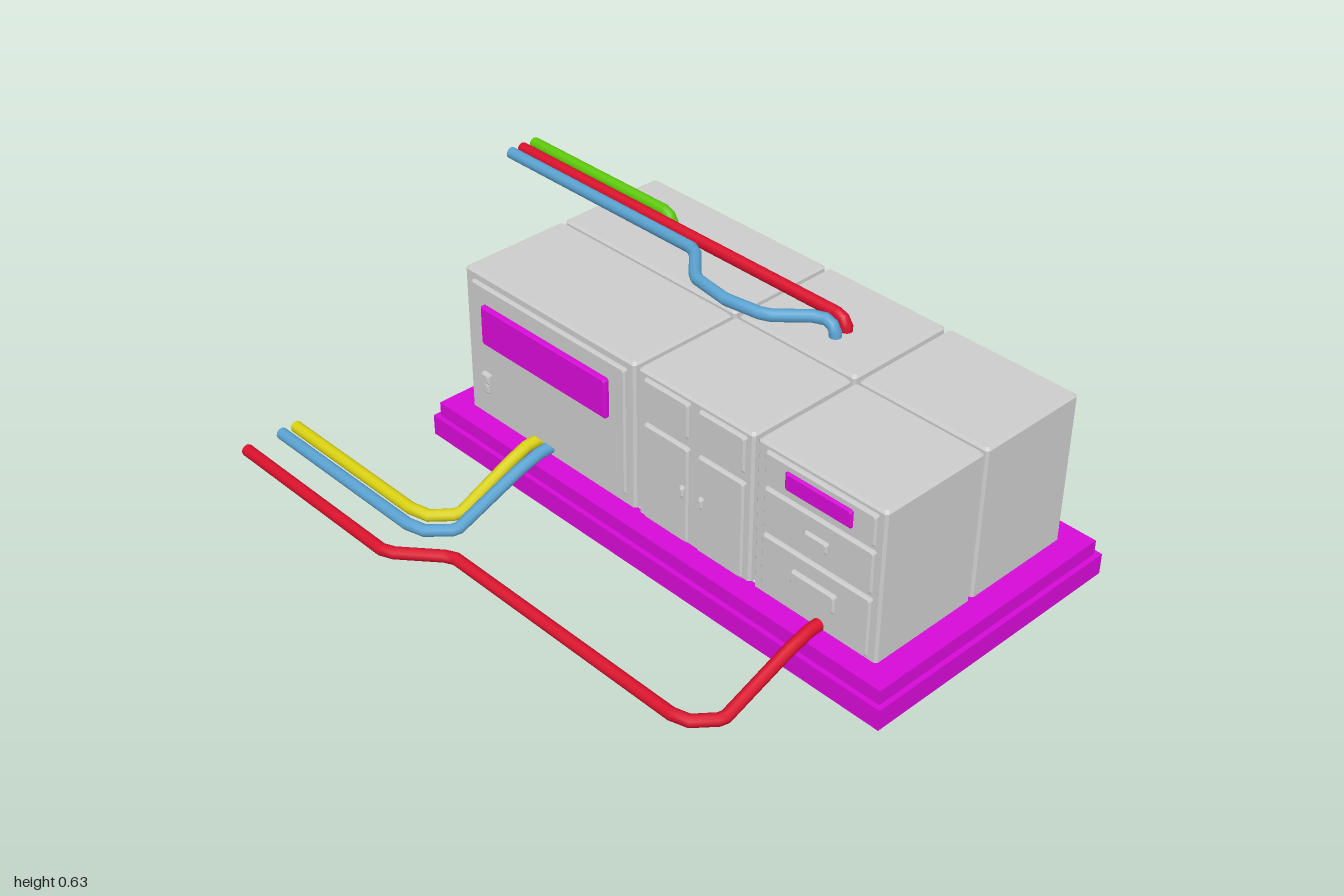
import * as THREE from 'three';

const mat = (color, opts = {}) => new THREE.MeshStandardMaterial({ color, ...opts });
const GREY = mat(0xcccccc, { flatShading: true });
const SHELL = mat(0xcccccc, { flatShading: true, side: THREE.DoubleSide });
const MAGENTA = mat(0xd60ad6, { flatShading: true });
const RED = mat(0xd8102c), BLUE = mat(0x5aa2d0), YELLOW = mat(0xd8d010), GREEN = mat(0x5cc808);

const MID_X = 0.238; // centre line of the cabinet block
const HALF_X = 0.3625;

function add(parent, name, geometry, material) {
  const mesh = new THREE.Mesh(geometry, material);
  mesh.name = name;
  parent.add(mesh);
  return mesh;
}

// Open-bottomed box, base at y = 0, with chamfered upright and top edges
function chamferBox(w, h, d, c) {
  const ring = (inset, y) => {
    const x = w / 2 - inset, z = d / 2 - inset;
    return [[x, -z + c], [x, z - c], [x - c, z], [-x + c, z],
      [-x, z - c], [-x, -z + c], [-x + c, -z], [x - c, -z]].map(p => [p[0], y, p[1]]);
  };
  const rings = [ring(0, 0), ring(0, h - c), ring(c, h)];
  const pos = [];
  for (let i = 0; i < 8; i++) {
    const j = (i + 1) % 8;
    for (let r = 0; r < 2; r++) {
      const [a0, b0, a1, b1] = [rings[r][i], rings[r][j], rings[r + 1][i], rings[r + 1][j]];
      pos.push(...a0, ...a1, ...b0, ...b0, ...a1, ...b1);
    }
    pos.push(0, h, 0, ...rings[2][j], ...rings[2][i]);
  }
  const g = new THREE.BufferGeometry();
  g.setAttribute('position', new THREE.Float32BufferAttribute(pos, 3));
  g.computeVertexNormals();
  return g;
}

// Rectangular plinth tier with a hole under the cabinets
function tier(x0, x1, z0, z1, y, h) {
  const rect = (C, a, b, c, d) => new C([[a, c], [b, c], [b, d], [a, d]].map(p => new THREE.Vector2(...p)));
  const shape = rect(THREE.Shape, x0, x1, -z1, -z0);
  shape.holes.push(rect(THREE.Path, -0.115, 0.59, -0.9, 0.63));
  return new THREE.ExtrudeGeometry(shape, { depth: h, bevelEnabled: false })
    .rotateX(-Math.PI / 2).translate(0, y, 0);
}

// Straight-segment path with a ring exactly on every bend
class Polyline extends THREE.Curve {
  constructor(points) {
    super();
    this.pts = points.map(p => new THREE.Vector3(...p));
  }
  getPoint(t) {
    const n = this.pts.length - 1, i = Math.min(Math.floor(t * n + 1e-6), n - 1);
    return this.pts[i].clone().lerp(this.pts[i + 1], t * n - i);
  }
  getPointAt(t) { return this.getPoint(t); }
  getTangentAt(t) {
    const n = this.pts.length - 1, i = Math.round(t * n), out = new THREE.Vector3();
    if (i > 0) out.add(this.pts[i].clone().sub(this.pts[i - 1]).normalize());
    if (i < n) out.add(this.pts[i + 1].clone().sub(this.pts[i]).normalize());
    return out.normalize();
  }
}

function addPipe(parent, name, material, points) {
  const group = new THREE.Group();
  group.name = name;
  const path = new Polyline(points), r = 0.018;
  add(group, 'pipeRun', new THREE.TubeGeometry(path, points.length - 1, r, 10), material);
  for (const t of [0, 1]) {
    const cap = add(group, 'pipeEnd', new THREE.CircleGeometry(r, 10), material);
    const dir = path.getTangentAt(t).multiplyScalar(t ? 1 : -1);
    cap.position.copy(path.getPoint(t));
    cap.quaternion.setFromUnitVectors(new THREE.Vector3(0, 0, 1), dir);
  }
  parent.add(group);
}

// Side fittings: name, z range, y range, distance out from the wall (start, end)
const FITTINGS = [
  ['largeDoor', -0.605, 0.02, 0.145, 0.55, 0, 0.012],
  ['largeDoorWindow', -0.55, -0.04, 0.37, 0.495, 0.01, 0.027],
  ['largeDoorLatch', -0.565, -0.53, 0.235, 0.27, 0.01, 0.026],
  ['largeDoorLever', -0.56, -0.537, 0.2, 0.237, 0.01, 0.022],
  ['upperFlap', 0.09, 0.257, 0.45, 0.56, 0, 0.012],
  ['upperFlap', 0.29, 0.457, 0.45, 0.56, 0, 0.012],
  ['narrowDoor', 0.09, 0.257, 0.115, 0.42, 0, 0.012],
  ['narrowDoor', 0.29, 0.457, 0.115, 0.42, 0, 0.012],
  ['narrowDoorHandle', 0.232, 0.25, 0.263, 0.3, 0.01, 0.022],
  ['narrowDoorHandle', 0.302, 0.32, 0.263, 0.3, 0.01, 0.022],
  ['topDrawer', 0.525, 0.89, 0.465, 0.56, 0, 0.012],
  ['topDrawerPanel', 0.6, 0.82, 0.485, 0.54, 0.01, 0.02],
  ['middleDrawer', 0.525, 0.89, 0.32, 0.45, 0, 0.012],
  ['middleDrawerHandle', 0.67, 0.75, 0.365, 0.4, 0.01, 0.022],
  ['bottomDrawer', 0.525, 0.89, 0.122, 0.305, 0, 0.012],
  ['bottomDrawerHandle', 0.635, 0.785, 0.2, 0.257, 0.01, 0.024],
];

export function createModel() {
  const model = new THREE.Group();
  model.name = 'cabinetUnit';

  // Two-step plinth
  add(model, 'lowerPlinth', tier(-0.205, 0.68, -0.725, 1, 0, 0.065), MAGENTA);
  add(model, 'upperPlinth', tier(-0.19, 0.665, -0.71, 0.985, 0.065, 0.045), MAGENTA);

  // Six cabinet shells, two across and three deep
  const rows = [['rearCabinet', -0.64, 0.047], ['middleCabinet', 0.06, 0.477], ['frontCabinet', 0.49, 0.912]];
  for (const [name, z0, z1] of rows) {
    for (const s of [-1, 1]) {
      const box = add(model, name, chamferBox(0.358, 0.467, z1 - z0, 0.007), SHELL);
      box.position.set(MID_X + s * 0.1835, 0.108, (z0 + z1) / 2);
    }
  }

  // Matching doors, drawers and handles on both long sides
  for (const s of [-1, 1]) {
    const side = new THREE.Group();
    side.name = s > 0 ? 'leftFittings' : 'rightFittings';
    for (const [name, z0, z1, y0, y1, from, to] of FITTINGS) {
      const magenta = /Window|Panel/.test(name);
      const plate = add(side, name, chamferBox(y1 - y0, to - from, z1 - z0, 0.005), magenta ? MAGENTA : GREY);
      plate.rotation.z = -s * Math.PI / 2;
      plate.position.set(MID_X + s * (HALF_X + from), (y0 + y1) / 2, (z0 + z1) / 2);
    }
    model.add(side);
  }

  // Floor pipes, leaving the right wall and dropping to the ground
  const F = 0.028;
  addPipe(model, 'redFloorPipe', RED, [
    [-0.09, 0.135, 0.73], [-0.17, 0.132, 0.73], [-0.24, 0.113, 0.73], [-0.46, F, 0.73], [-0.48, F, 0.725],
    [-0.535, F, 0.68], [-0.55, F, 0.63], [-0.55, F, -0.2], [-0.565, F, -0.23], [-0.655, F, -0.335],
    [-0.67, F, -0.37], [-0.67, F, -1]]);
  addPipe(model, 'blueFloorPipe', BLUE, [
    [-0.09, 0.135, -0.3], [-0.17, 0.132, -0.3], [-0.24, 0.113, -0.3], [-0.46, F, -0.3], [-0.48, F, -0.305],
    [-0.535, F, -0.355], [-0.55, F, -0.41], [-0.55, F, -1]]);
  addPipe(model, 'yellowFloorPipe', YELLOW, [
    [-0.09, 0.135, -0.35], [-0.17, 0.132, -0.35], [-0.23, 0.11, -0.35], [-0.41, F, -0.35], [-0.435, F, -0.357],
    [-0.485, F, -0.4], [-0.5, F, -0.46], [-0.5, F, -1]]);

  // Roof pipes, rising from the cabinet tops and running to the rear
  const T = 0.613;
  const rise = (x, z) => [[x, 0.56, z], [x, 0.588, z], [x, 0.606, z - 0.012], [x, T, z - 0.035]];
  addPipe(model, 'redRoofPipe', RED, [...rise(0.393, 0.31), [0.393, T, -1]]);
  addPipe(model, 'greenRoofPipe', GREEN, [...rise(0.44, -0.4), [0.44, T, -1]]);
  addPipe(model, 'blueRoofPipe', BLUE, [
    ...rise(0.35, 0.31), [0.335, T, 0.24], [0.26, T, 0.165], [0.245, T, 0.135], [0.228, T, 0.025],
    [0.245, T, -0.1], [0.26, T, -0.125], [0.335, T, -0.2], [0.35, T, -0.23], [0.35, T, -1]]);

  return model;
}
